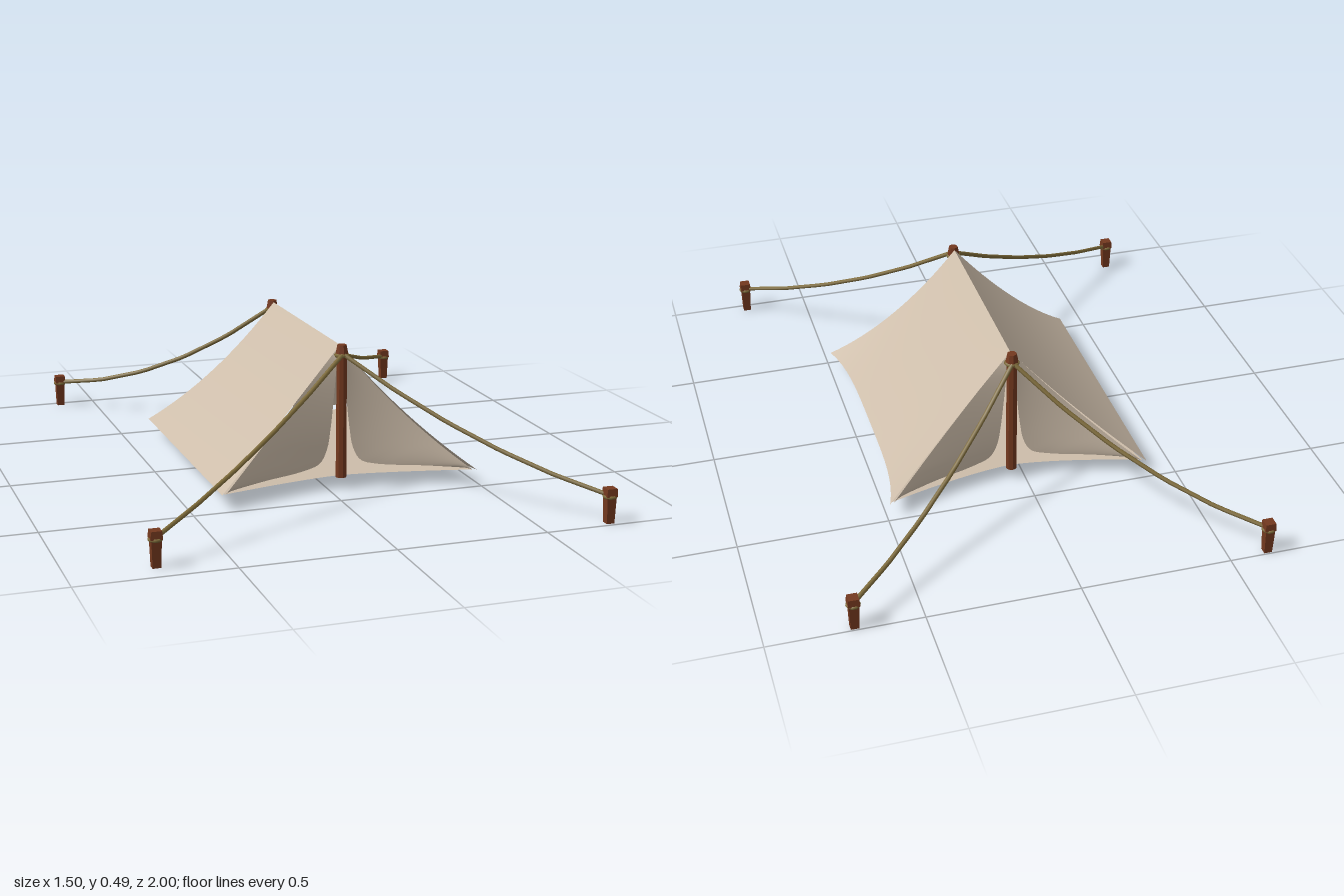
import * as THREE from 'three';
import { ParametricGeometry } from 'three/addons/geometries/ParametricGeometry.js';

const CX = 0.045; // x of the ridge
const HALF = 0.445; // half width of the tent at the ground

function material(name, color, side = THREE.FrontSide) {
  const m = new THREE.MeshStandardMaterial({ color, side });
  m.name = name;
  return m;
}

// Cloth sheet from a rule (u, v) -> [x, y, z]
function sheet(rule, nu, nv) {
  const g = new ParametricGeometry((u, v, p) => p.set(...rule(u, v)), nu, nv);
  g.computeVertexNormals();
  return g;
}

function faceted(geometry) {
  const g = geometry.toNonIndexed();
  g.computeVertexNormals();
  return g;
}

// Roof slope: t runs along the ridge (-1..1), v from ridge to ground
function roofPoint(side, t, v) {
  const pinch = side > 0 ? 0.04 * (1 - t ** 4) * v * v : 0;
  return [
    CX + side * (HALF * v - pinch),
    0.488 - 0.435 * v - 0.1 * v * (1 - v),
    t * (0.355 + 0.128 * v * v),
  ];
}

export function createModel() {
  const canvas = material('canvas', 0xcdbdaa, THREE.DoubleSide);
  const wood = material('wood', 0x74391f);
  const rope = material('rope', 0x7f6c3a);
  const model = new THREE.Group();
  model.name = 'tent';

  const add = (name, geometry, mat, parent = model) => {
    const mesh = new THREE.Mesh(geometry, mat);
    mesh.name = name;
    parent.add(mesh);
    return mesh;
  };

  // Roof slopes
  for (const side of [-1, 1]) {
    add(side < 0 ? 'rightRoof' : 'leftRoof',
      sheet((u, v) => roofPoint(side, u * 2 - 1, v), 20, 16), canvas);
  }

  // Floor with edges drawn in between the four corners
  add('floor', sheet((u, v) => {
    const a = u * 2 - 1, b = v * 2 - 1;
    return [
      CX + a * (0.375 + 0.06 * b * b),
      0.043 + 0.008 * a * a * b * b,
      b * (0.365 + 0.105 * Math.abs(a) ** 1.5),
    ];
  }, 20, 20), canvas);

  // Door flaps: from the roof end to a curved opening beside the pole
  const opening = new THREE.CatmullRomCurve3([
    [0.008, 0.468], [0.014, 0.4], [0.024, 0.29], [0.034, 0.2], [0.046, 0.135],
    [0.072, 0.09], [0.13, 0.073], [0.28, 0.064], [0.42, 0.056],
  ].map(([d, y]) => new THREE.Vector3(d, y, 0.358 + 0.112 * (d / HALF) ** 1.5)));
  for (const end of [-1, 1]) {
    for (const side of [-1, 1]) {
      add('doorFlap', sheet((u, v) => {
        const inner = opening.getPoint(v);
        const outer = roofPoint(side, 1, v);
        const d = THREE.MathUtils.lerp(Math.abs(outer[0] - CX) * 0.97, inner.x, u);
        const y = THREE.MathUtils.lerp(outer[1], inner.y, u);
        const z = THREE.MathUtils.lerp(outer[2] - 0.004, inner.z, u);
        return [CX + side * d, y, end * z];
      }, 8, 28), canvas);
    }
  }

  // Poles with a rounded cap and a rope binding
  for (const end of [-1, 1]) {
    const pole = new THREE.Group();
    pole.name = end > 0 ? 'frontPole' : 'backPole';
    pole.position.set(CX, 0, end * 0.373);
    model.add(pole);
    add('shaft', faceted(new THREE.CylinderGeometry(0.018, 0.019, 0.42, 8)), wood, pole).position.y = 0.25;
    add('cap', faceted(new THREE.CylinderGeometry(0.016, 0.023, 0.034, 8)), wood, pole).position.y = 0.476;
    const binding = add('binding', new THREE.TorusGeometry(0.019, 0.007, 6, 12), rope, pole);
    binding.rotation.x = Math.PI / 2;
    binding.position.y = 0.458;
  }

  // Guy ropes and ground stakes: [x, z, rope sag]
  for (const [x, z, sag] of [
    [-0.73, 0.915, 0.035], [0.725, 0.975, 0.045],
    [-0.63, -0.982, 0.075], [0.72, -0.982, 0.07],
  ]) {
    const stake = new THREE.Group();
    stake.name = 'stake';
    stake.position.set(x, 0, z);
    model.add(stake);
    const square = (top, bottom, height) => {
      const g = new THREE.CylinderGeometry(top * Math.SQRT1_2, bottom * Math.SQRT1_2, height, 4);
      return faceted(g.rotateY(Math.PI / 4));
    };
    add('shaft', square(0.032, 0.026, 0.09), wood, stake).position.y = 0.045;
    add('head', square(0.034, 0.038, 0.026), wood, stake).position.y = 0.102;
    const loop = add('loop', new THREE.TorusGeometry(0.018, 0.006, 6, 10), rope, stake);
    loop.rotation.x = Math.PI / 2;
    loop.position.y = 0.087;

    const from = new THREE.Vector3(CX, 0.463, Math.sign(z) * 0.385);
    const to = new THREE.Vector3(x, 0.09, z);
    const path = new THREE.CurvePath();
    let last = from;
    for (let i = 1; i <= 5; i++) {
      const t = i / 5;
      const next = from.clone().lerp(to, t);
      next.y -= sag * 4 * t * (1 - t);
      path.add(new THREE.LineCurve3(last, next));
      last = next;
    }
    add('guyRope', new THREE.TubeGeometry(path, 20, 0.0075, 6), rope);
  }

  return model;
}
